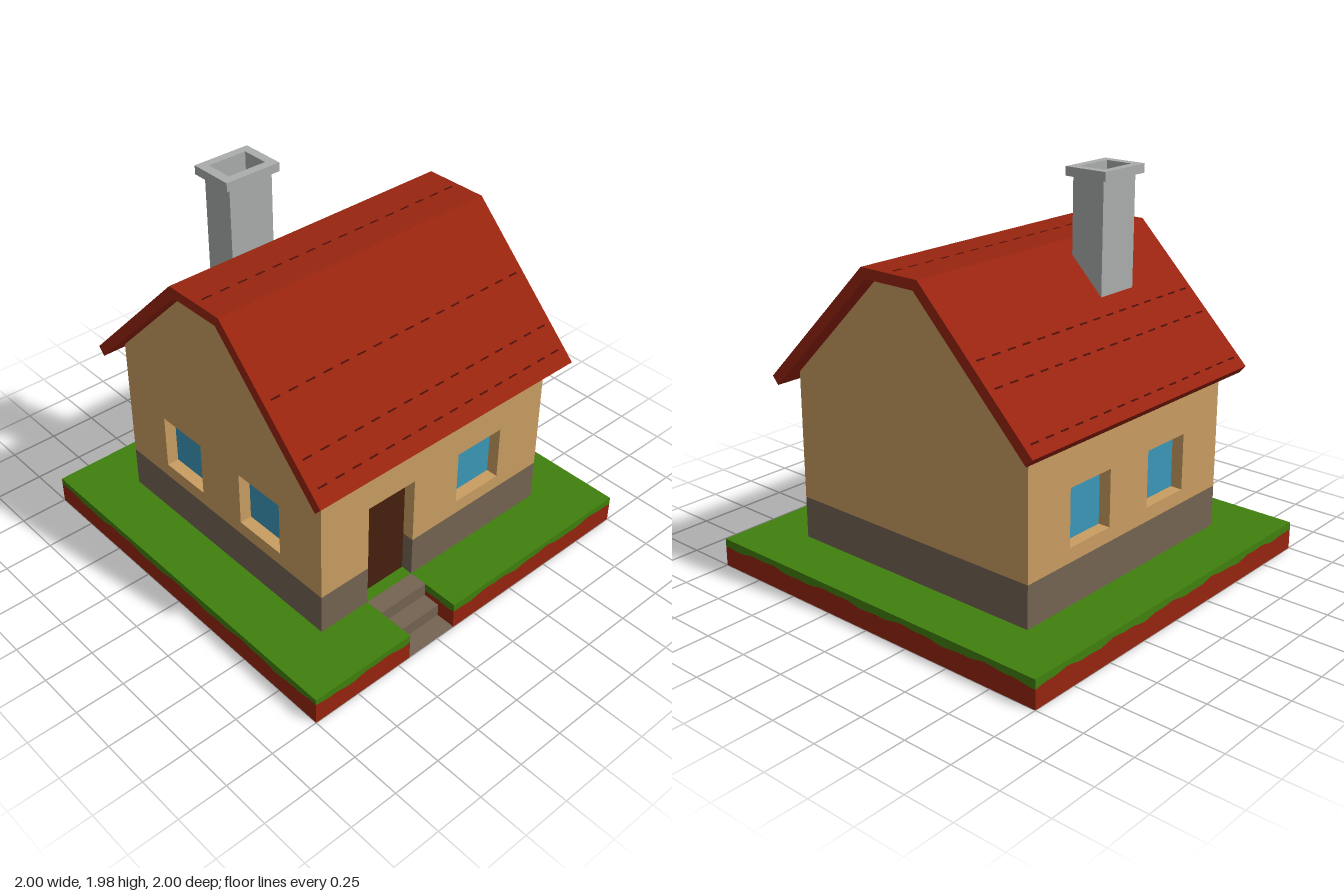
import * as THREE from 'three';

const mat = (name, color) => {
  const m = new THREE.MeshStandardMaterial({ color });
  m.name = name;
  return m;
};

export function createModel() {
  const M = {
    wall: mat('plaster', 0xc99d61), stone: mat('foundation stone', 0x746452),
    roof: mat('roof red', 0x98240f), joint: mat('tile joint', 0x4a0d08),
    grass: mat('grass green', 0x40800e), dirt: mat('red earth', 0x962410),
    door: mat('door brown', 0x46200c), glass: mat('window blue', 0x3b97b8),
    chimney: mat('chimney grey', 0xabacac),
  };
  const house = new THREE.Group();
  house.name = 'house';
  const add = (name, geo, material) => {
    const m = new THREE.Mesh(geo, material);
    m.name = name;
    house.add(m);
    return m;
  };
  const box = (x0, x1, y0, y1, z0, z1) => new THREE.BoxGeometry(x1 - x0, y1 - y0, z1 - z0)
    .translate((x0 + x1) / 2, (y0 + y1) / 2, (z0 + z1) / 2);
  const shapeOf = pts => new THREE.Shape(pts.map(p => new THREE.Vector2(...p)));
  const rect = (x0, x1, y0, y1) => [[x0, y0], [x1, y0], [x1, y1], [x0, y1]];
  const extrude = (shape, depth) => new THREE.ExtrudeGeometry(shape, { depth, bevelEnabled: false });
  // Extrudes a floor plan given as (x, -z) points from y0 to y1
  const plan = (pts, y0, y1, hole) => {
    const s = shapeOf(pts);
    if (hole) s.holes.push(shapeOf(hole));
    return extrude(s, y1 - y0).rotateX(-Math.PI / 2).translate(0, y0, 0);
  };

  const W = 0.714, T = 0.07, GROUND = 0.143, BASE = 0.357;
  const D0 = -0.429, D1 = -0.143; // door sides

  // Ground slab, notched for the steps, with a ragged seam between grass and earth
  const outline = [[-1, -1], [D0, -1], [D0, -W], [D1, -W], [D1, -1], [1, -1], [1, 1], [-1, 1]];
  const path = [];
  outline.forEach((a, i) => {
    const b = outline[(i + 1) % outline.length];
    const n = Math.ceil(Math.hypot(b[0] - a[0], b[1] - a[1]) / 0.04);
    for (let k = 0; k < n; k++) path.push([a[0] + (b[0] - a[0]) * k / n, a[1] + (b[1] - a[1]) * k / n]);
  });
  path.push(path[0]);
  const seam = ([x, s]) => 0.105 + 0.007 * Math.sin(17 * x + 13 * s) + 0.004 * Math.sin(41 * x - 37 * s);
  const ribbon = (low, high) => {
    const pos = [], idx = [];
    for (let i = 0; i + 1 < path.length; i++) {
      const a = path[i], b = path[i + 1], o = i * 4;
      for (const [p, f] of [[a, low], [b, low], [b, high], [a, high]]) pos.push(p[0], f(p), -p[1]);
      idx.push(o, o + 1, o + 2, o, o + 2, o + 3);
    }
    const g = new THREE.BufferGeometry();
    g.setAttribute('position', new THREE.Float32BufferAttribute(pos, 3));
    g.setIndex(idx);
    g.computeVertexNormals();
    return g;
  };
  add('earthEdge', ribbon(() => 0, seam), M.dirt);
  add('grassEdge', ribbon(seam, () => GROUND), M.grass);
  add('lawn', new THREE.ShapeGeometry(shapeOf(outline)).rotateX(-Math.PI / 2).translate(0, GROUND, 0), M.grass);
  add('earthUnderside', new THREE.PlaneGeometry(2, 2).rotateX(Math.PI / 2), M.dirt);

  // Steps up to the door
  [[0.006, 0.9, 1], [0.072, 0.81, 0.9], [GROUND, W, 0.81]].forEach(([top, z0, z1], i) =>
    add('step' + (i + 1), box(D0, D1, 0.002, top, z0, z1), M.stone));

  // Foundation with a notch for the door
  add('foundation', plan([[-W, -W], [D0, -W], [D0, T - W], [D1, T - W], [D1, -W], [W, -W], [W, W], [-W, W]],
    GROUND - 0.01, BASE), M.stone);

  // Walls with recessed windows; each is built facing front, then turned
  const makeWall = (name, pts, windows, angle) => {
    const s = shapeOf(pts);
    for (const x of windows) {
      s.holes.push(shapeOf(rect(x - 0.143, x + 0.143, 0.429, 0.716)));
      add(name + 'Window', box(x - 0.143, x + 0.143, 0.429, 0.716, W - T, W - T + 0.008).rotateY(angle), M.glass);
    }
    add(name + 'Wall', extrude(s, T).translate(0, 0, W - T).rotateY(angle), M.wall);
  };
  const E = W - T, TOP = 1.005, A = 0.286;
  makeWall('front', [[-E, BASE], [D0, BASE], [D0, 0.716], [D1, 0.716], [D1, BASE], [E, BASE], [E, TOP], [-E, TOP]], [A], 0);
  makeWall('back', rect(-E, E, BASE, TOP), [-A, A], Math.PI);
  const gable = [[-W, BASE], [W, BASE], [W, TOP], [0.145, 1.575], [-0.145, 1.575], [-W, TOP]];
  makeWall('left', gable, [], Math.PI / 2);
  makeWall('right', gable, [-A, A], -Math.PI / 2);
  add('door', box(D0, D1, GROUND, 0.716, E, E + 0.008), M.door);

  // Roof with a flat ridge
  const half = [[0.775, 0.945], [0.81, 0.985], [0.17, 1.625]];
  const inner = [0.145, 1.575];
  const mirror = ([z, y]) => [-z, y];
  const profile = [...half, ...half.map(mirror).reverse(), mirror(inner), inner];
  add('roof', extrude(shapeOf(profile), 1.6).translate(0, 0, -0.8).rotateY(Math.PI / 2), M.roof);

  // Broken rows of tile joints
  const joints = (z, y, tilt) => {
    for (let i = 0; i < 16; i++) {
      const m = add('tileJoint', new THREE.BoxGeometry(0.05, 0.003, 0.008), M.joint);
      m.position.set(-0.735 + i * 0.098, y, z);
      m.rotation.x = tilt;
    }
  };
  for (const z of [0.455, 0.655, 0.75, -0.47, -0.57, -0.765])
    joints(z, 1.795 - Math.abs(z), Math.sign(z) * Math.PI / 4);
  joints(0.01, 1.625, 0);

  // Hollow chimney with a wider cap
  const flue = rect(-0.39, -0.185, 0.25, 0.39);
  add('chimneyShaft', plan(rect(-0.405, -0.165, 0.23, 0.405), 1.3, 1.936, flue), M.chimney);
  add('chimneyCap', plan(rect(-0.437, -0.14, 0.205, 0.433), 1.936, 1.98, flue), M.chimney);
  add('flueFloor', box(-0.395, -0.18, 1.8, 1.82, -0.395, -0.245), M.chimney);

  return house;
}
